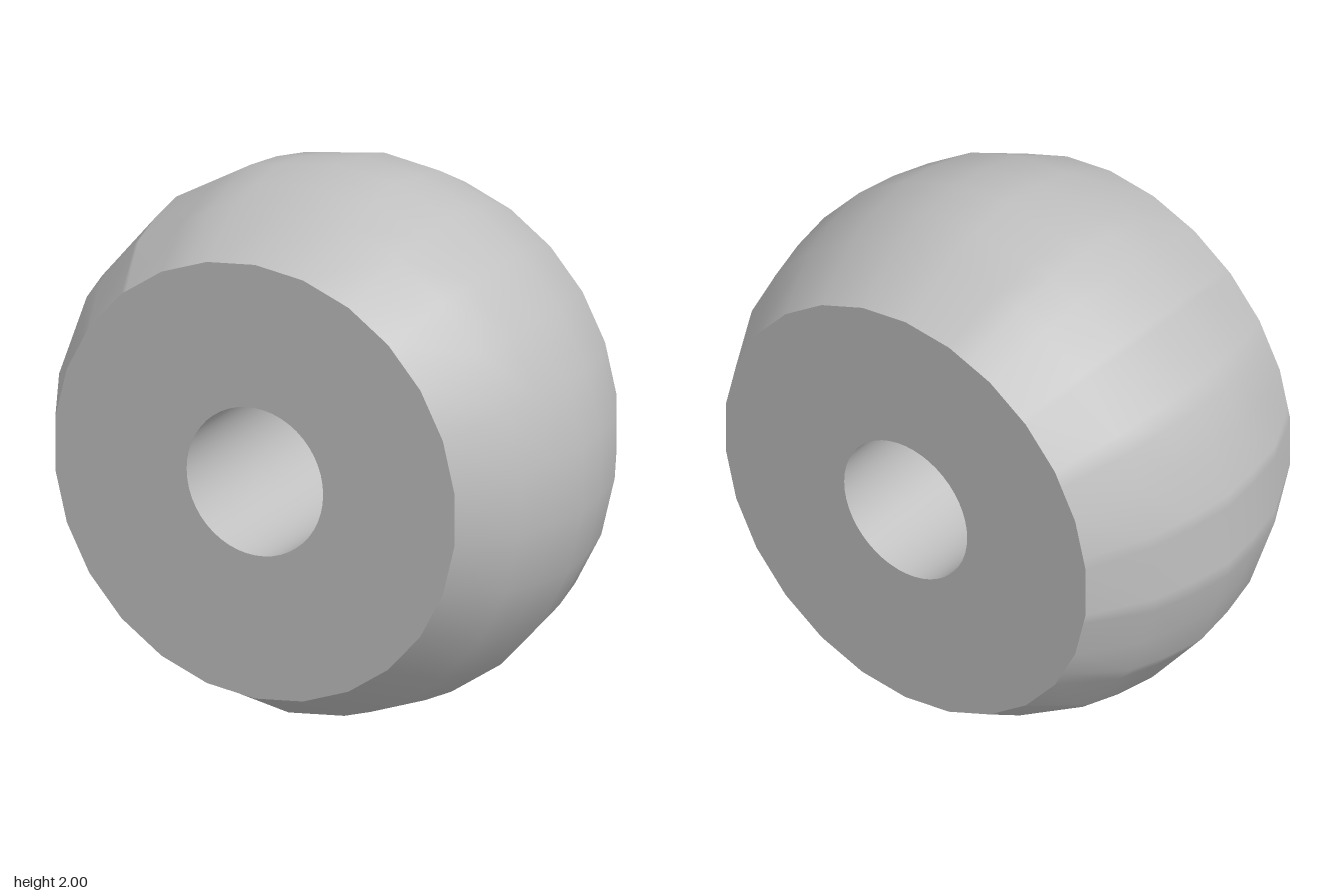
import * as THREE from 'three';

const HALF = 0.58;      // half thickness of the bead
const END_R = 0.81;     // radius of the flat ends
const HOLE_R = 0.275;
const FINE = Math.PI / 13;  // 26-sided outline
const COARSE = Math.PI / 9; // 18-sided outline

// Radius of a unit polygon, with corners every `step`, in direction t
function polygonRadius(t, step) {
  const m = t - Math.floor(t / step + 1e-6) * step;
  return Math.cos(step / 2) / Math.cos(m - step / 2);
}

// Rounded faceted band: finer facets on the +x half, coarser on the -x half
function bandGeometry() {
  const angles = [];
  for (let k = 0; k < 26; k++) angles.push(k * FINE);
  for (let k = 10; k < 18; k++) angles.push(k * COARSE);
  angles.sort((a, b) => a - b);

  const rings = [[-HALF, END_R], [-0.34, 0.938], [-0.17, 0.977], [0, 1],
    [0.17, 0.977], [0.34, 0.938], [HALF, END_R]];
  const positions = [], index = [], n = angles.length;
  rings.forEach(([z, r], j) => {
    const isEnd = j === 0 || j === rings.length - 1;
    angles.forEach((t, i) => {
      const step = !isEnd && t > Math.PI ? COARSE : FINE;
      const q = r * polygonRadius(t, step);
      positions.push(q * Math.sin(t), q * Math.cos(t), z);
      if (j < rings.length - 1) {
        const a = j * n + i, b = j * n + (i + 1) % n;
        index.push(a, a + n, b, b, a + n, b + n);
      }
    });
  });
  const g = new THREE.BufferGeometry();
  g.setAttribute('position', new THREE.Float32BufferAttribute(positions, 3));
  g.setIndex(index);
  g.computeVertexNormals();
  return g;
}

// Flat 26-sided end with a round hole
function endGeometry() {
  const pts = [];
  for (let k = 0; k < 26; k++) {
    pts.push(new THREE.Vector2(END_R * Math.sin(k * FINE), END_R * Math.cos(k * FINE)));
  }
  const shape = new THREE.Shape(pts);
  shape.holes.push(new THREE.Path().absarc(0, 0, HOLE_R, 0, Math.PI * 2, true));
  return new THREE.ShapeGeometry(shape, 24);
}

export function createModel() {
  const group = new THREE.Group();
  group.name = 'bead';
  const grey = new THREE.MeshStandardMaterial({ color: 0xc0c0c0 });
  grey.name = 'light grey';

  const add = (name, geometry) => {
    const mesh = new THREE.Mesh(geometry, grey);
    mesh.name = name;
    mesh.position.set(-0.005, 1, 0);
    group.add(mesh);
    return mesh;
  };

  add('roundedBand', bandGeometry());
  add('frontEnd', endGeometry().translate(0, 0, HALF));
  add('backEnd', endGeometry().translate(0, 0, HALF).rotateY(Math.PI));

  // Bore wall, facing inwards
  const wall = [new THREE.Vector2(HOLE_R, HALF), new THREE.Vector2(HOLE_R, -HALF)];
  add('bore', new THREE.LatheGeometry(wall, 48).rotateX(Math.PI / 2));

  return group;
}
